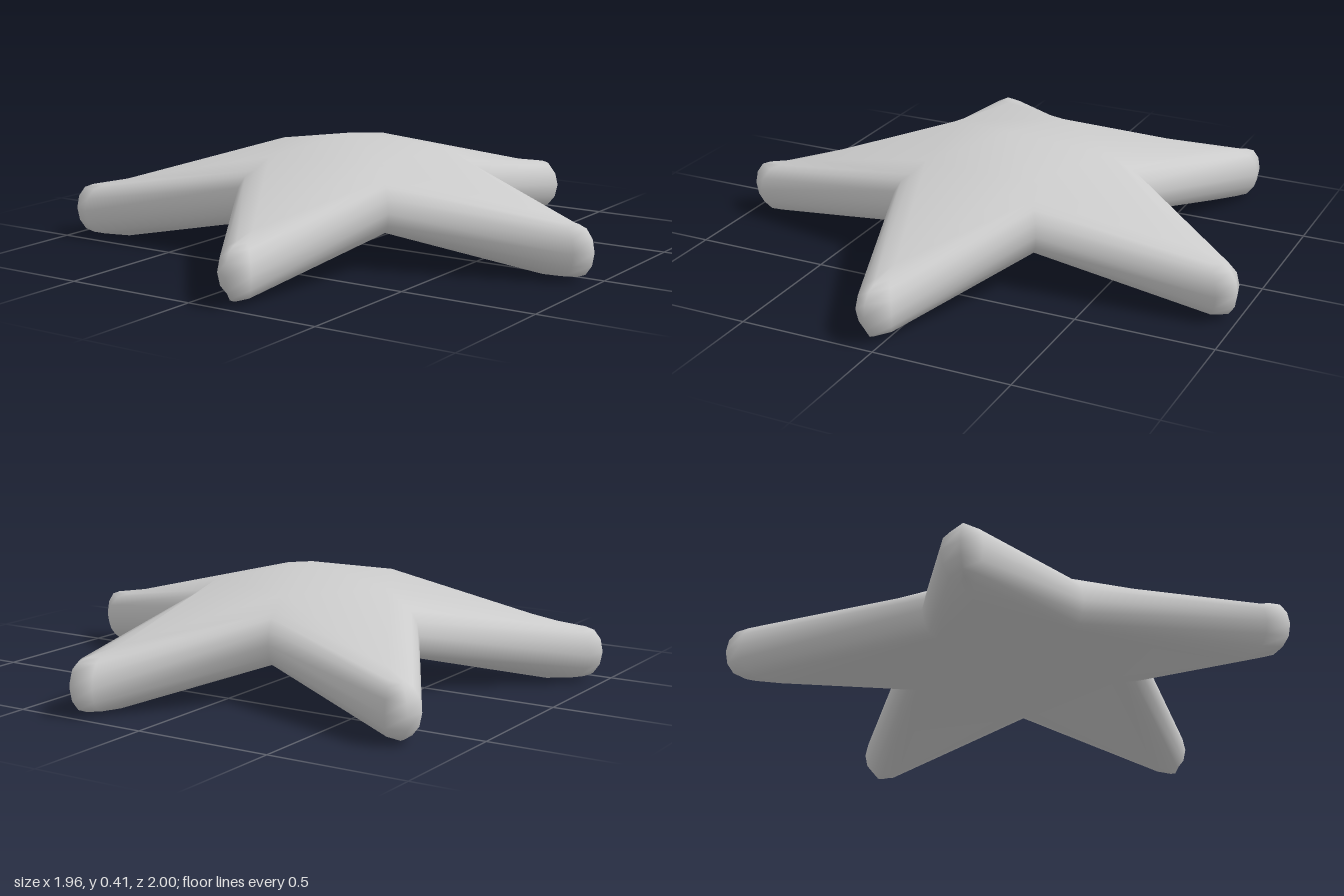
import * as THREE from 'three';

// Each arm: three tip corners (x, z), then the notch that follows it, counterclockwise from above
const ARMS = [
  { tip: [[0.93, 0.10], [0.98, 0.04], [0.92, -0.03]], notch: [0.36, -0.29] },
  { tip: [[0.34, -0.94], [0.29, -1.0], [0.21, -0.98]], notch: [-0.16, -0.49] },
  { tip: [[-0.76, -0.73], [-0.835, -0.715], [-0.845, -0.64]], notch: [-0.52, -0.08] },
  { tip: [[-0.97, 0.37], [-0.98, 0.46], [-0.91, 0.495]], notch: [-0.25, 0.42] },
  { tip: [[0.08, 0.95], [0.15, 1.0], [0.21, 0.94]], notch: [0.32, 0.30] },
];
const CENTRE = new THREE.Vector2(-0.03, -0.01);
const STEPS = 6;        // facets around the rounded rim
const HALF = 0.093;     // half thickness of the rim

// Point moved towards the centre by a distance
function pullIn(point, distance) {
  const p = new THREE.Vector2(...point);
  return p.addScaledVector(CENTRE.clone().sub(p).normalize(), distance);
}

// Rim point pulled inwards by t (0 = outline, 1 = edge of the top or bottom face)
function inset(point, tip, t) {
  if (!tip) return pullIn(point, 0.075 * t);
  const axis = new THREE.Vector2(...tip[1]).sub(CENTRE).normalize();
  const rel = new THREE.Vector2(...point).sub(CENTRE);
  const along = rel.dot(axis);
  const side = rel.clone().addScaledVector(axis, -along);
  return CENTRE.clone().addScaledVector(axis, along - 0.065 * t).addScaledVector(side, 1 - 0.65 * t);
}

function starGeometry() {
  const positions = [], index = [];
  const add = (p, y) => positions.push(p.x, y, p.y) / 3 - 1;
  const outline = ARMS.flatMap(({ tip, notch }) => [
    ...tip.map((point) => ({ point, tip, mid: 0.108 })),
    { point: notch, tip: null, mid: 0.21 },
  ]);
  const n = outline.length;

  // Rounded rim: stacked loops from the underside to the top
  for (let k = 0; k <= STEPS; k++) {
    const a = (k / STEPS - 0.5) * Math.PI;
    const t = 1 - Math.cos(a);
    for (const { point, tip, mid } of outline) {
      add(inset(point, tip, t), mid + (tip ? 0 : 0.012 * t) + HALF * Math.sin(a));
    }
  }
  for (let k = 0; k < STEPS; k++) {
    for (let i = 0; i < n; i++) {
      const j = (i + 1) % n, lo = k * n, hi = lo + n;
      index.push(lo + i, lo + j, hi + j, lo + i, hi + j, hi + i);
    }
  }

  // Domed top and hollowed underside: a smaller star inside the rim, peaked at the centre
  for (const top of [true, false]) {
    const base = top ? STEPS * n : 0;
    const tri = (a, b, c) => (top ? index.push(a, b, c) : index.push(a, c, b));
    const centre = add(CENTRE, top ? 0.42 : 0.2);
    const innerTips = ARMS.map(({ tip }) => add(pullIn(tip[1], 0.2), top ? 0.225 : 0.005));
    const innerNotches = ARMS.map(({ notch }) => add(pullIn(notch, 0.135), top ? 0.36 : 0.14));
    ARMS.forEach((arm, i) => {
      const previous = (i + ARMS.length - 1) % ARMS.length;
      const first = base + i * 4;
      const loop = [base + previous * 4 + 3, first, first + 1, first + 2, first + 3];
      const tip = innerTips[i], before = innerNotches[previous], after = innerNotches[i];
      for (let s = 0; s < 4; s++) tri(loop[s], loop[s + 1], tip);
      tri(loop[0], tip, before);
      tri(loop[4], after, tip);
      tri(before, tip, after);
      tri(centre, before, after);
    });
  }

  const geometry = new THREE.BufferGeometry();
  geometry.setAttribute('position', new THREE.Float32BufferAttribute(positions, 3));
  geometry.setIndex(index);
  geometry.computeVertexNormals();
  return geometry;
}

export function createModel() {
  const group = new THREE.Group();
  group.name = 'starfish';
  const body = new THREE.Mesh(starGeometry(), new THREE.MeshStandardMaterial({ color: 0xcccccc }));
  body.name = 'starfishBody';
  group.add(body);
  return group;
}
